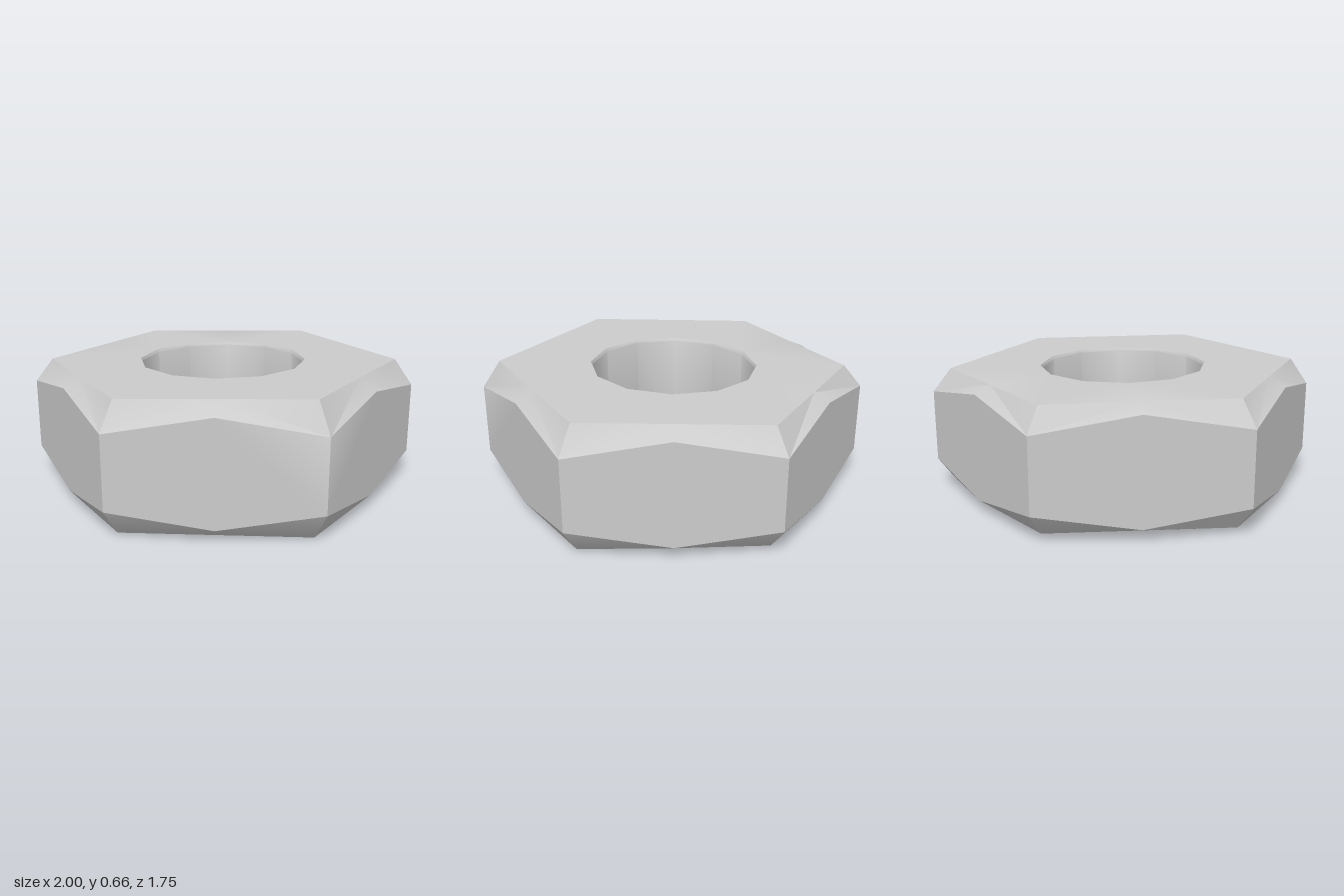
import * as THREE from 'three';
import { toCreasedNormals } from 'three/addons/utils/BufferGeometryUtils.js';

const SIDES = 12; // six corners and six edge midpoints, matching the 12-sided bore
const MID_Y = 0.33;

// Ring of 12 points; height is a rule of (isCorner, x, z)
function ring(radius, turn, isHex, height, centreZ = 0) {
  const points = [];
  for (let i = 0; i < SIDES; i++) {
    const corner = i % 2 === 0;
    const r = isHex && !corner ? radius * Math.cos(Math.PI / 6) : radius;
    const a = (i / SIDES) * Math.PI * 2 + THREE.MathUtils.degToRad(turn);
    const x = r * Math.cos(a);
    const z = -r * Math.sin(a) + centreZ;
    points.push([x, height(corner, x, z), z]);
  }
  return points;
}

// Skin a closed cross-section: the last ring joins back to the first
function skinRings(rings) {
  const index = [];
  for (let j = 0; j < rings.length; j++) {
    const a = j * SIDES;
    const b = ((j + 1) % rings.length) * SIDES;
    for (let i = 0; i < SIDES; i++) {
      const n = (i + 1) % SIDES;
      // Alternate the diagonal so both halves of each flat mirror each other
      if (i % 2 === 0) index.push(a + i, b + i, a + n, a + n, b + i, b + n);
      else index.push(a + i, b + i, b + n, a + i, b + n, a + n);
    }
  }
  const geometry = new THREE.BufferGeometry();
  geometry.setAttribute('position', new THREE.Float32BufferAttribute(rings.flat(2), 3));
  geometry.setIndex(index);
  return toCreasedNormals(geometry, 0.53);
}

export function createModel() {
  const group = new THREE.Group();
  group.name = 'hexNut';

  // The two faces lean slightly apart towards the front
  const face = (s, drop = 0) => (c, x, z) => MID_Y + s * (0.315 + 0.008 * x + 0.0145 * z - drop);
  // The chamfer dips at the corners and rises at the middle of each flat
  const flat = (s) => (corner) => MID_Y + s * (corner ? 0.185 : 0.267);

  const nut = new THREE.Mesh(
    skinRings([
      ring(0.435, -3, false, face(1), -0.008), // upper bore rim
      ring(0.905, -1.3, true, face(1)), // upper face
      ring(1.0, -1.3, true, flat(1)), // upper edge of flats
      ring(1.0, -1.3, true, flat(-1)), // lower edge of flats
      ring(0.905, -1.3, true, face(-1)), // lower face
      ring(0.435, -3, false, face(-1), -0.008), // lower bore rim
      ring(0.426, -3, false, face(-1, 0.015), -0.008), // bore wall
      ring(0.426, -3, false, face(1, 0.015), -0.008),
    ]),
    new THREE.MeshStandardMaterial({ color: 0xcccccc })
  );
  nut.name = 'nutBody';
  group.add(nut);
  return group;
}
